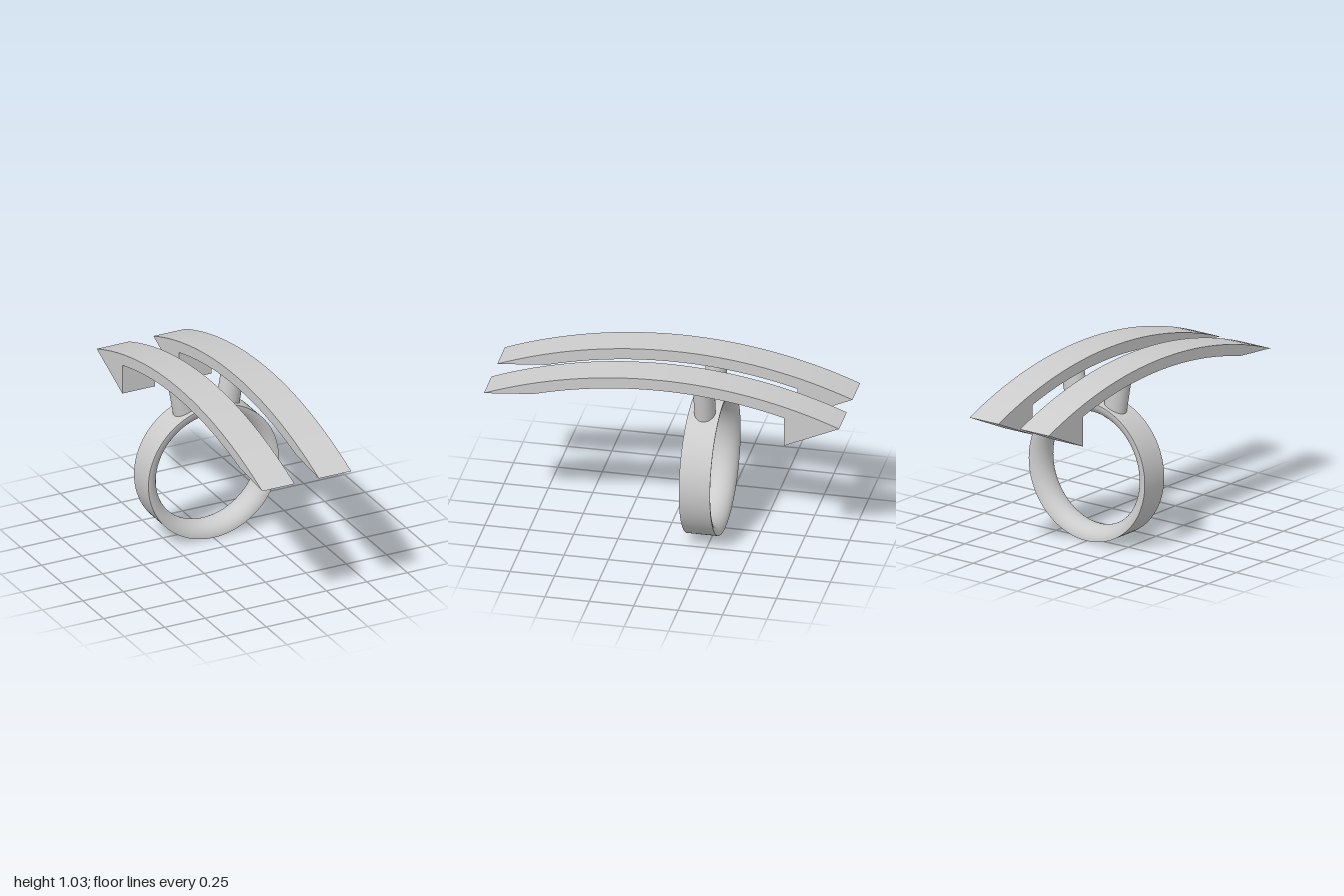
import * as THREE from 'three';

const material = new THREE.MeshStandardMaterial({ color: 0xcccccc });

// Points of an arc in the (z, y) plane with its crown at z = 0
function arc(radius, crown, from, to, steps) {
  const a = Math.asin(from / radius), b = Math.asin(to / radius);
  return Array.from({ length: steps + 1 }, (_, i) => {
    const t = a + (b - a) * i / steps;
    return new THREE.Vector2(radius * Math.sin(t), crown - radius * (1 - Math.cos(t)));
  });
}

// Curved bar with a tapered front tip and a barbed rear tip
function createBar() {
  const shape = new THREE.Shape([
    ...arc(2.726, 1.027, 1, -1, 32),
    new THREE.Vector2(-0.69, 0.698),
    ...arc(2.66, 0.962, -0.69, 0.72, 24),
  ]);
  const width = 0.2;
  const geometry = new THREE.ExtrudeGeometry(shape, { depth: width, bevelEnabled: false });
  geometry.translate(0, 0, -width / 2);
  geometry.rotateY(-Math.PI / 2); // profile x becomes z
  return new THREE.Mesh(geometry, material);
}

// Band: flat outside, domed inside
function createRing() {
  const outer = 0.403, depth = 0.078, half = 0.0875, steps = 24;
  const dome = [];
  for (let i = 0; i <= steps; i++) {
    const t = Math.PI * i / steps;
    dome.push(new THREE.Vector2(outer - depth * Math.sin(t), half * Math.cos(t)));
  }
  const rim = [new THREE.Vector2(outer, -half), new THREE.Vector2(outer, half)];
  const ring = new THREE.Group();
  [['ringInside', dome], ['ringOutside', rim]].forEach(([name, profile]) => {
    const mesh = new THREE.Mesh(new THREE.LatheGeometry(profile, 96), material);
    mesh.name = name;
    ring.add(mesh);
  });
  ring.rotation.x = Math.PI / 2;
  ring.position.set(0, outer, -0.2125);
  return ring;
}

// Slightly oval post leaning outward from the ring to a bar
function createPost(side) {
  const bottom = new THREE.Vector3(0.126 * side, 0.725, -0.215);
  const top = new THREE.Vector3(0.168 * side, 0.968, -0.215);
  const geometry = new THREE.CylinderGeometry(1, 1, bottom.distanceTo(top), 40);
  geometry.scale(0.067, 1, 0.059);
  const post = new THREE.Mesh(geometry, material);
  post.position.copy(bottom).lerp(top, 0.5);
  post.rotation.z = -Math.atan2(top.x - bottom.x, top.y - bottom.y);
  return post;
}

export function createModel() {
  const model = new THREE.Group();
  model.name = 'doubleBarRing';

  const ring = createRing();
  ring.name = 'ring';
  model.add(ring);

  for (const [name, side] of [['left', 1], ['right', -1]]) {
    const bar = createBar();
    bar.name = name + 'Bar';
    bar.position.x = 0.175 * side;
    const post = createPost(side);
    post.name = name + 'Post';
    model.add(bar, post);
  }
  return model;
}
